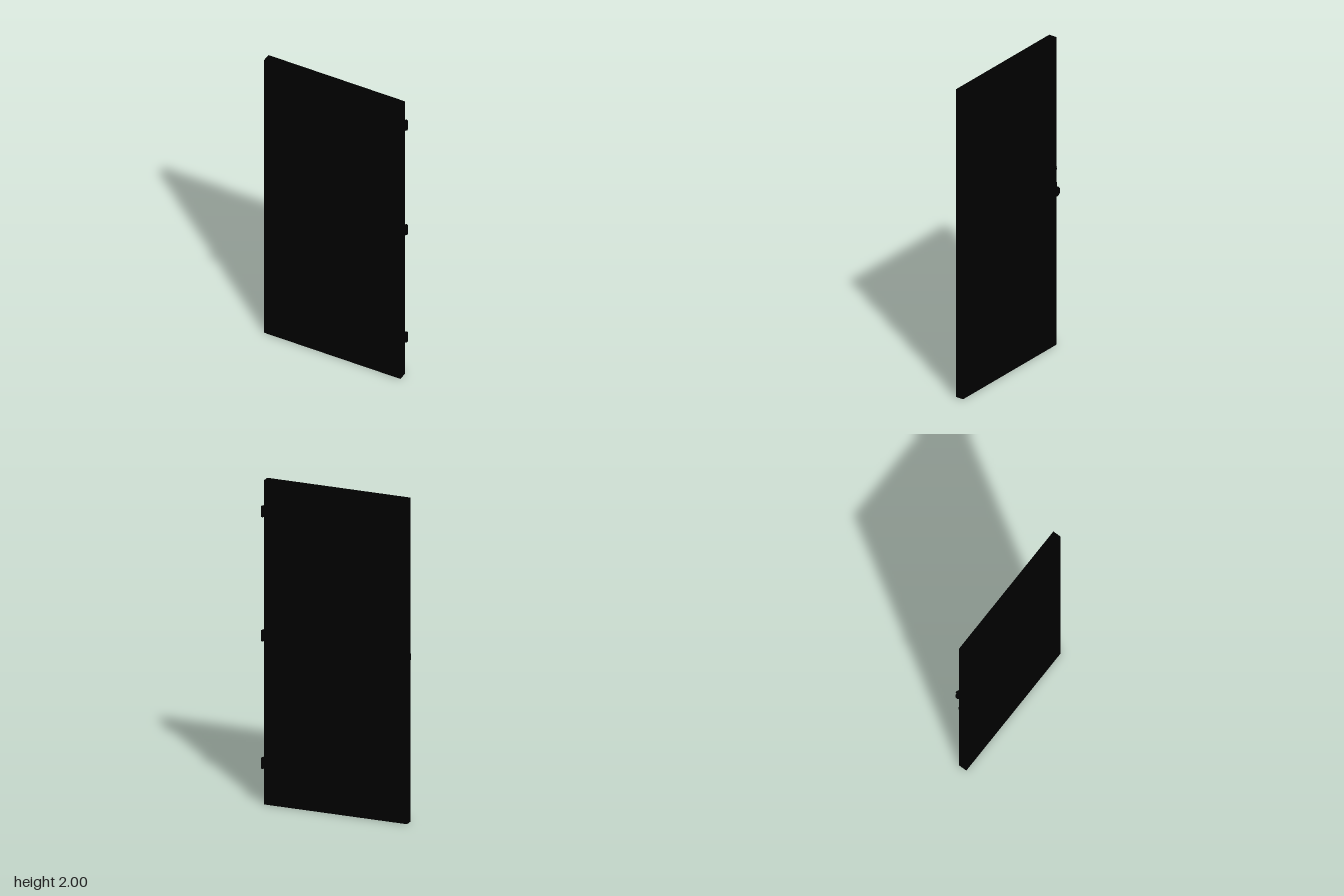
import * as THREE from 'three';

const FRONT = 0.028, BACK = -0.025;
const LEFT = 0.459, RIGHT = -0.455;

export function createModel() {
  const group = new THREE.Group();
  const black = new THREE.MeshStandardMaterial({ color: 0x000000 });

  function add(name, geometry, x = 0, y = 0, z = 0, parent = group) {
    const mesh = new THREE.Mesh(geometry, black);
    mesh.name = name;
    mesh.position.set(x, y, z);
    parent.add(mesh);
    return mesh;
  }

  // Turned part whose axis runs along z; profile is [radius, z]
  function turned(profile, segments = 32) {
    const points = profile.map(([r, z]) => new THREE.Vector2(r, z));
    return new THREE.LatheGeometry(points, segments).rotateX(Math.PI / 2);
  }

  // Moulded rectangle from nested rings; steps are [inset, z], the last one is filled
  function mouldedPanel(w, h, steps) {
    const rings = steps.map(([inset, z]) => {
      const a = w / 2 - inset, b = h / 2 - inset;
      return [[-a, -b, z], [a, -b, z], [a, b, z], [-a, b, z]];
    });
    const out = [];
    const quad = (a, b, c, d) => out.push(...a, ...b, ...c, ...a, ...c, ...d);
    for (let i = 0; i < rings.length - 1; i++) {
      for (let k = 0; k < 4; k++) {
        const n = (k + 1) % 4;
        quad(rings[i][k], rings[i][n], rings[i + 1][n], rings[i + 1][k]);
      }
    }
    quad(...rings[rings.length - 1]);
    const geometry = new THREE.BufferGeometry();
    geometry.setAttribute('position', new THREE.Float32BufferAttribute(out, 3));
    geometry.computeVertexNormals();
    return geometry;
  }

  // Openings: three by three panes above, three wide panels below
  const columns = [[-0.335, -0.115], [-0.095, 0.1], [0.125, 0.34]];
  const paneRows = [[1.628, 1.888], [1.363, 1.607], [1.087, 1.347]];
  const panelRows = [[0.785, 0.955], [0.477, 0.658], [0.18, 0.371]];
  const openings = [];
  for (const [y0, y1] of paneRows) {
    for (const [x0, x1] of columns) openings.push({ name: 'pane', x0, x1, y0, y1 });
  }
  for (const [y0, y1] of panelRows) {
    openings.push({ name: 'lowerPanel', x0: -0.335, x1: 0.34, y0, y1 });
  }
  const profiles = {
    pane: [[0, 0], [0.003, -0.004], [0.01, -0.012]],
    lowerPanel: [[0, 0], [0.008, -0.01], [0.018, -0.01], [0.034, -0.003]],
  };

  // Door frame: stiles, rails and glazing bars in one slab
  const rectangle = (target, x0, x1, y0, y1) => {
    target.moveTo(x0, y0);
    target.lineTo(x1, y0);
    target.lineTo(x1, y1);
    target.lineTo(x0, y1);
    target.closePath();
    return target;
  };
  const outline = rectangle(new THREE.Shape(), RIGHT, LEFT, 0, 2);
  for (const o of openings) outline.holes.push(rectangle(new THREE.Path(), o.x0, o.x1, o.y0, o.y1));
  add('doorFrame', new THREE.ExtrudeGeometry(outline, { depth: FRONT - BACK, bevelEnabled: false }), 0, 0, BACK);

  // Recessed infills on both faces
  for (const { name, x0, x1, y0, y1 } of openings) {
    const geometry = mouldedPanel(x1 - x0, y1 - y0, profiles[name]);
    const x = (x0 + x1) / 2, y = (y0 + y1) / 2;
    add(name + 'Front', geometry, x, y, FRONT);
    add(name + 'Back', geometry, x, y, BACK).rotation.y = Math.PI;
  }

  // Knobs with round rosettes and necks
  const knobX = -0.397, knobY = 1.03;
  const rosette = turned([[0, 0], [0.045, 0], [0.045, 0.004], [0.038, 0.008], [0.022, 0.009], [0.012, 0.015], [0.01, 0.024]]);
  const knob = turned([[0.01, 0.016], [0.02, 0.019], [0.028, 0.025], [0.0315, 0.033],
    [0.0315, 0.043], [0.028, 0.05], [0.02, 0.055], [0, 0.057]]);
  for (const side of ['Front', 'Back']) {
    const set = new THREE.Group();
    set.name = 'knobSet' + side;
    set.position.set(knobX, knobY, side === 'Front' ? FRONT : BACK);
    if (side === 'Back') set.rotation.y = Math.PI;
    add('rosette', rosette, 0, 0, 0, set);
    add('knob', knob, 0, 0, 0, set);
    group.add(set);
  }
  add('lockButton', turned([[0.008, 0], [0.008, 0.008], [0, 0.008]], 16), knobX, knobY, BACK - 0.055).rotation.y = Math.PI;

  // Spring latch: edge plate and sloped bolt
  add('latchPlate', new THREE.BoxGeometry(0.004, 0.1, 0.03), RIGHT - 0.001, knobY, 0);
  const bolt = new THREE.Shape();
  bolt.moveTo(RIGHT, -0.017);
  bolt.lineTo(RIGHT, 0.014);
  bolt.lineTo(-0.462, 0.01);
  bolt.lineTo(-0.473, -0.008);
  bolt.lineTo(-0.473, -0.017);
  bolt.closePath();
  const boltGeometry = new THREE.ExtrudeGeometry(bolt, { depth: 0.034, bevelEnabled: false }).rotateX(Math.PI / 2);
  add('latchBolt', boltGeometry, 0, knobY + 0.017, 0);

  // Small slide bolt on the back, above the knob
  add('slidePlate', new THREE.BoxGeometry(0.08, 0.036, 0.004), -0.4, 1.152, BACK - 0.002);
  add('slideRod', new THREE.CylinderGeometry(0.006, 0.006, 0.085, 12).rotateZ(Math.PI / 2), -0.4, 1.152, BACK - 0.008);
  add('slideHandle', new THREE.SphereGeometry(0.007, 12, 8), -0.435, 1.165, BACK - 0.01);

  // Knocker: top boss, teardrop ring and strike plate
  add('knockerBoss', turned([[0.02, 0], [0.018, 0.008], [0.01, 0.017], [0, 0.02]], 24), 0.002, 1.058, FRONT);
  const drop = new THREE.CatmullRomCurve3([
    [0, 0.045], [0.012, 0.025], [0.027, -0.005], [0.028, -0.025], [0.017, -0.041],
    [0, -0.047], [-0.017, -0.041], [-0.028, -0.025], [-0.027, -0.005], [-0.012, 0.025],
  ].map(([x, y]) => new THREE.Vector3(x, y, 0)), true);
  add('knockerRing', new THREE.TubeGeometry(drop, 48, 0.005, 8, true), 0.002, 1.022, FRONT + 0.01);
  add('knockerStrike', turned([[0.014, 0], [0.012, 0.006], [0, 0.008]], 20), 0.002, 0.98, FRONT);

  // Hinges: barrel, pin caps and leaf
  for (const y of [1.814, 1.048, 0.261]) {
    const hinge = new THREE.Group();
    hinge.name = 'hinge';
    hinge.position.set(LEFT, y, 0);
    add('barrel', new THREE.CylinderGeometry(0.009, 0.009, 0.066, 16), 0, 0, -0.043, hinge);
    add('leaf', new THREE.BoxGeometry(0.003, 0.064, 0.06), 0, 0, -0.012, hinge);
    group.add(hinge);
  }

  return group;
}
